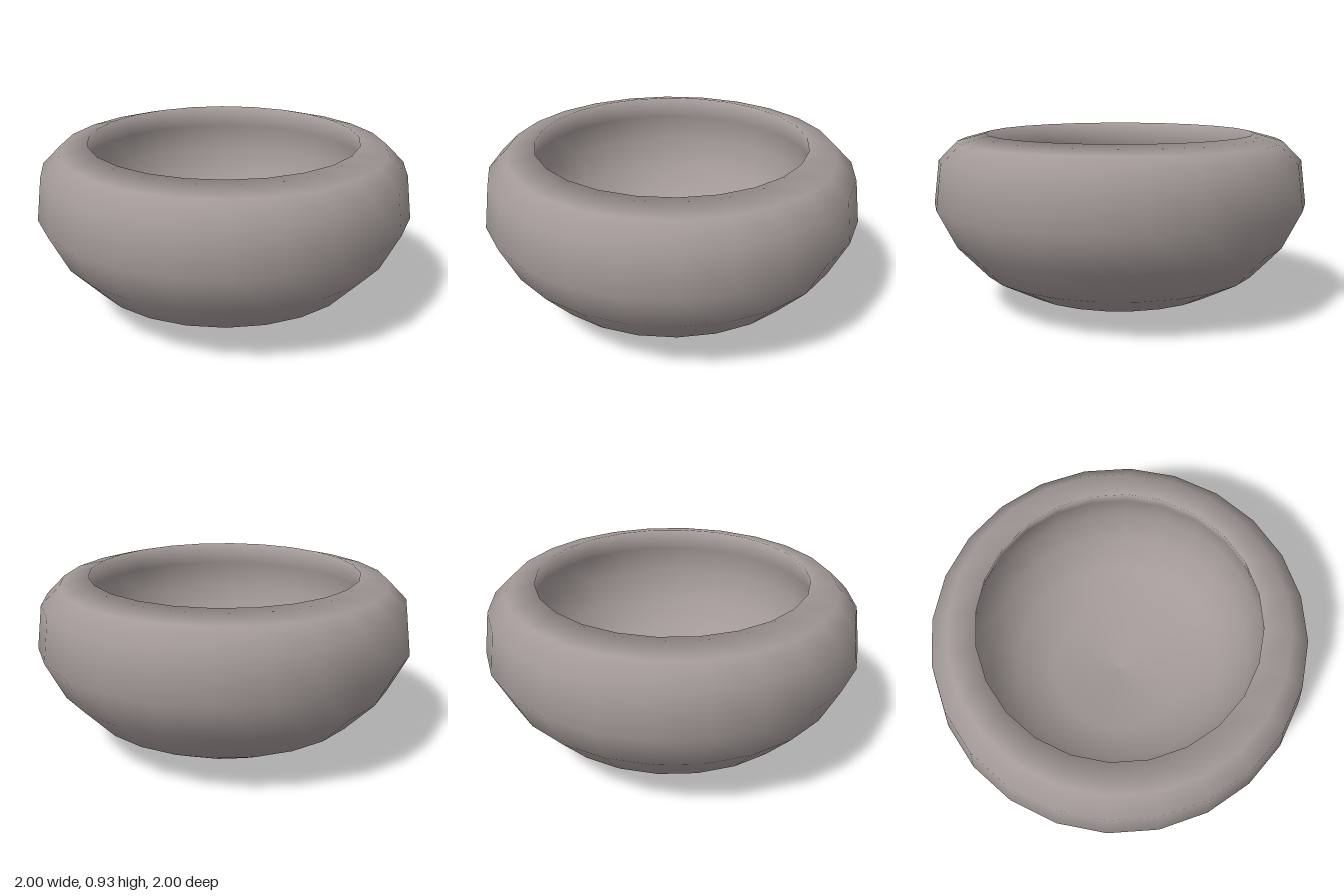
import * as THREE from 'three';

const SIDES = 24;

export function createModel() {
  const group = new THREE.Group();
  group.name = 'bowl';

  const stone = new THREE.MeshStandardMaterial({ color: 0xa39a98 });
  stone.name = 'warm grey stone';
  stone.side = THREE.DoubleSide;

  // One closed profile, from the underside, over the rim, to the inner floor
  const outside = [[0, 0], [0.18, 0.02], [0.53, 0.08], [0.74, 0.19], [0.9, 0.36], [1, 0.56], [0.97, 0.79]];
  const rim = [[0.87, 0.89], [0.72, 0.93]];
  const inside = [[0.76, 0.8], [0.77, 0.65], [0.71, 0.48], [0.58, 0.33], [0.38, 0.23], [0, 0.18]];
  const profile = [...outside, ...rim, ...inside].map(([r, y]) => new THREE.Vector2(r, y));

  const body = new THREE.Mesh(new THREE.LatheGeometry(profile, SIDES), stone);
  body.name = 'bowlBody';
  group.add(body);

  return group;
}
